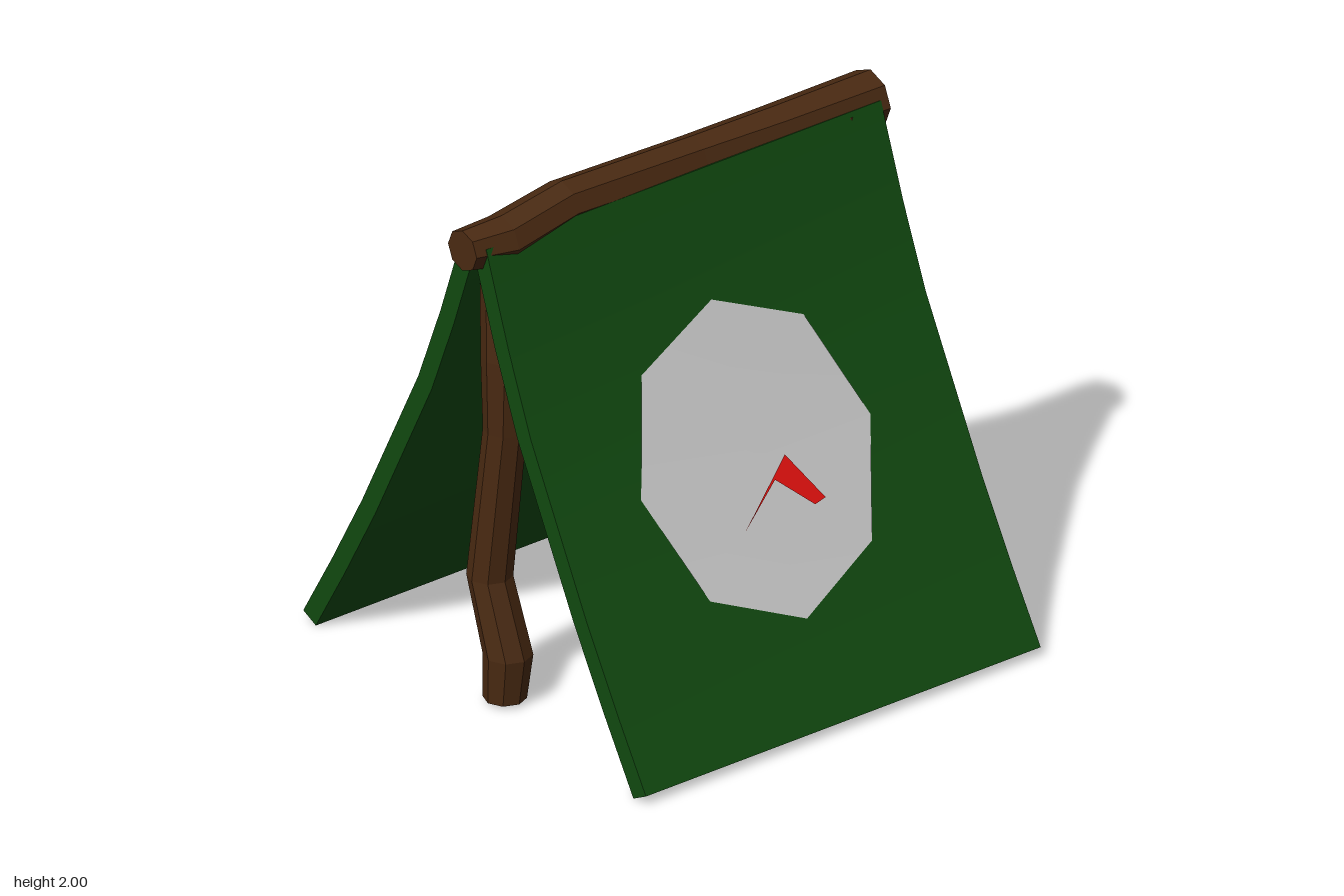
import * as THREE from 'three';
import { toCreasedNormals } from 'three/addons/utils/BufferGeometryUtils.js';

const material = (color, extra = {}) => new THREE.MeshStandardMaterial({ color, ...extra });
const wood = material(0x4a2a12, { flatShading: true });
const canvas = material(0x114910);
const grey = material(0xcccccc, { side: THREE.DoubleSide });
const red = material(0xe5110f, { side: THREE.DoubleSide });

function mesh(name, geometry, mat) {
  const m = new THREE.Mesh(geometry, mat);
  m.name = name;
  return m;
}

// Crooked eight-sided log through rings [x, y, z, radius], listed top-down or front-back
function log(name, rings, horizontal = false) {
  const n = rings.length - 1;
  const geo = new THREE.CylinderGeometry(1, 1, 1, 8, n);
  const p = geo.attributes.position;
  for (let i = 0; i < p.count; i++) {
    const [x, y, z, r] = rings[Math.round((0.5 - p.getY(i)) * n)];
    const a = p.getX(i) * r, b = p.getZ(i) * r;
    if (horizontal) p.setXYZ(i, x + a, y - b, z);
    else p.setXYZ(i, x + a, y, z + b);
  }
  geo.computeVertexNormals();
  return mesh(name, geo, wood);
}

// Sagging outer profile of one canvas side, from the ground to the ridge
const outer = [[0.97, 0.04], [0.81, 0.31], [0.642, 0.61], [0.48, 0.93],
  [0.328, 1.23], [0.205, 1.54], [0.1, 1.84], [0.08, 1.9]];
const inner = outer.map(([x, y], i) => [x - 0.07 - i * 0.001, y - 0.035 + i * 0.002]);

function surfaceX(y) {
  const i = Math.max(1, outer.findIndex((q) => q[1] >= y));
  const [x0, y0] = outer[i - 1], [x1, y1] = outer[i];
  return x0 + (x1 - x0) * (y - y0) / (y1 - y0);
}

// Lays a flat geometry drawn in x/y onto the outside of the canvas
function drape(geo, offset) {
  const p = geo.attributes.position;
  for (let i = 0; i < p.count; i++) {
    const x = p.getX(i), y = p.getY(i);
    p.setXYZ(i, surfaceX(y) + offset, y, -x);
  }
  geo.computeVertexNormals();
  return geo;
}

const shapeOf = (pts) => new THREE.Shape(pts.map(([x, y]) => new THREE.Vector2(x, y)));

// One canvas side with its octagonal patch and red mark
function canvasSide(name) {
  const side = new THREE.Group();
  side.name = name;
  const sheet = new THREE.ExtrudeGeometry(shapeOf([...outer, ...inner.reverse()]),
    { depth: 1.86, bevelEnabled: false });
  inner.reverse();
  sheet.translate(0, 0, -0.935);
  side.add(mesh('canvasSheet', toCreasedNormals(sheet, 0.5), canvas));

  const patch = new THREE.CircleGeometry(0.54, 8).translate(0, 0.922, 0);
  side.add(mesh('octagonPatch', drape(patch, 0.004), grey));

  const mark = shapeOf([[-0.153, 0.714], [0.042, 0.84], [0.18, 0.72], [0.233, 0.73], [0.116, 0.905]]);
  side.add(mesh('redMark', drape(new THREE.ShapeGeometry(mark), 0.02), red));
  return side;
}

export function createModel() {
  const tent = new THREE.Group();
  tent.name = 'tent';

  // Ridge pole, front to back
  tent.add(log('ridgePole', [
    [0, 1.88, 0.97, 0.08], [0.005, 1.865, 0.79, 0.1], [-0.015, 1.905, 0.49, 0.095],
    [-0.02, 1.885, -0.13, 0.095], [-0.02, 1.87, -0.5, 0.105], [-0.02, 1.862, -0.97, 0.113],
  ], true));

  // Posts: the same crooked log, bent in a different direction at each end
  const post = (name, z, bx, bz) => log(name, [
    [0, 1.88, z, 0.09], [0.01, 1.4, z, 0.095], [0, 1.1, z, 0.08],
    [bx, 0.49, z + bz, 0.085], [-bx * 0.2, 0.2, z - bz * 0.2, 0.092], [0, 0.02, z, 0.08],
  ]);
  tent.add(post('frontPost', 0.77, -0.07, 0.012));
  tent.add(post('backPost', -0.79, 0.035, 0.055));

  // Canvas sides, the right one turned half way round
  const left = canvasSide('leftCanvas');
  const right = canvasSide('rightCanvas');
  right.rotation.y = Math.PI;
  right.position.z = -0.035;
  tent.add(left, right);
  return tent;
}
